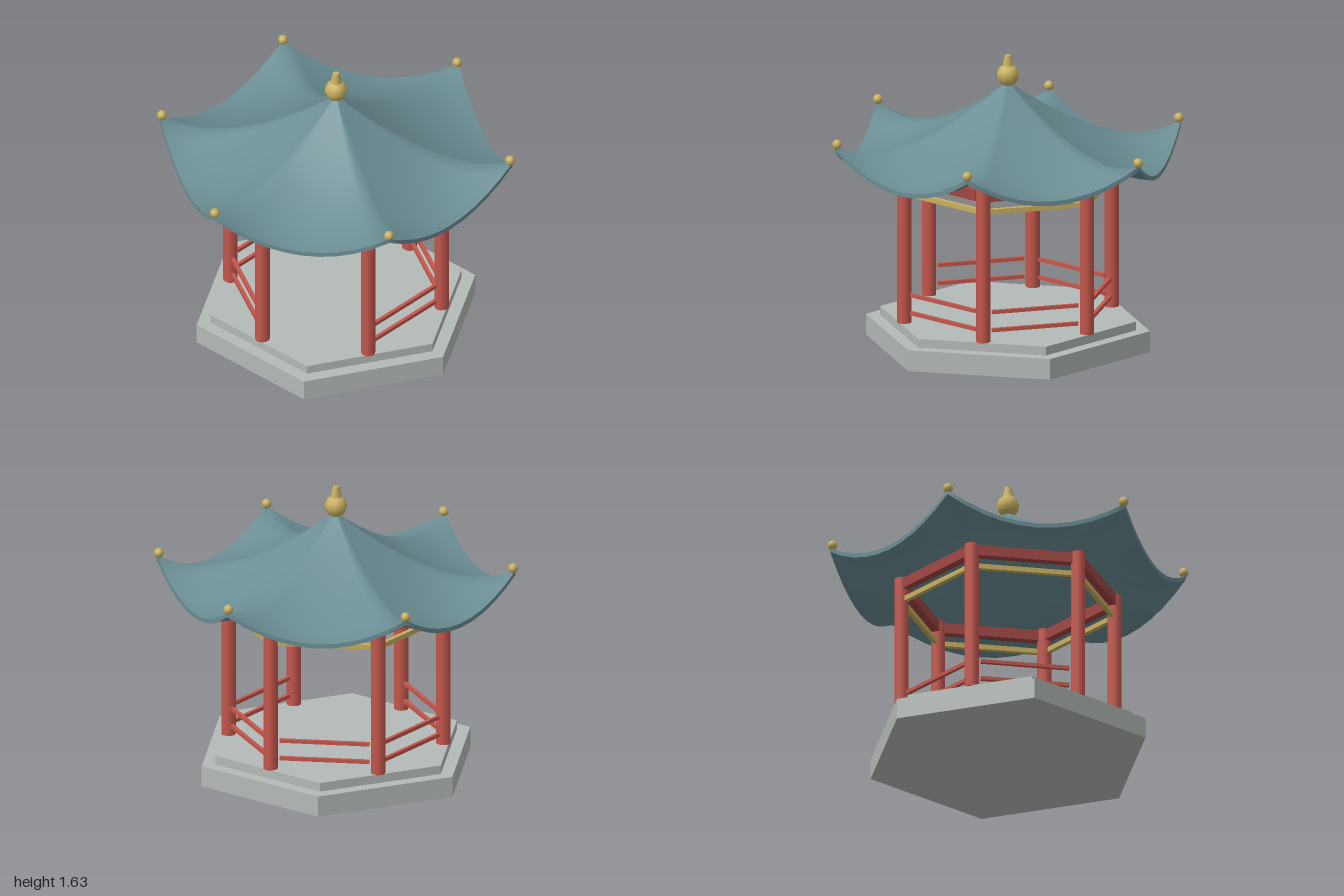
import * as THREE from 'three';

const material = (name, color, side = THREE.FrontSide) =>
  Object.assign(new THREE.MeshStandardMaterial({ color, side }), { name });

const SIDES = 6;
const POST_RADIUS = 0.59;
const ROOF_RADIUS = 0.985;
const PER_SIDE = 10;   // roof steps along each eave
const RINGS = 14;      // roof steps from peak to eave
const ROOF_THICK = 0.025;

// Point on a hexagon with a corner on +x
const corner = (i, r, y = 0) =>
  new THREE.Vector3(r * Math.cos(i * Math.PI / 3), y, r * Math.sin(i * Math.PI / 3));

// Swept roof: t runs from peak to eave, corners curl upward
function roofPoint(j, t, drop) {
  const side = Math.floor(j / PER_SIDE) % SIDES;
  const f = (j % PER_SIDE) / PER_SIDE;
  const p = corner(side, ROOF_RADIUS * t).lerp(corner(side + 1, ROOF_RADIUS * t), f);
  const s = 2 * f - 1;
  p.y = 1.022 + 0.458 * Math.pow(1 - t, 1.6) + 0.16 * t ** 3 * s * s - drop;
  return p;
}

// Closed-ring surface; row(i, j) gives the point on row i
function ringSurface(rows, row, flip) {
  const n = SIDES * PER_SIDE, pos = [], index = [];
  for (let i = 0; i <= rows; i++)
    for (let j = 0; j < n; j++) pos.push(...row(i, j).toArray());
  for (let i = 0; i < rows; i++)
    for (let j = 0; j < n; j++) {
      const k = (j + 1) % n;
      const a = i * n + j, b = i * n + k, c = a + n, d = b + n;
      if (flip) index.push(a, c, b, b, c, d);
      else index.push(a, b, c, b, d, c);
    }
  const g = new THREE.BufferGeometry();
  g.setAttribute('position', new THREE.Float32BufferAttribute(pos, 3));
  g.setIndex(index);
  g.computeVertexNormals();
  return g;
}

export function createModel() {
  const model = new THREE.Group();
  model.name = 'pavilion';
  const stone = material('stone', 0xb4bab8);
  const red = material('red lacquer', 0xc4574c);
  const darkRed = material('dark red lacquer', 0xa04643);
  const gold = material('gold', 0xc8b060);
  const tile = material('teal roof', 0x6a8d93);

  const add = (name, geometry, mat, parent = model) => {
    const mesh = new THREE.Mesh(geometry, mat);
    mesh.name = name;
    parent.add(mesh);
    return mesh;
  };

  // Stepped hexagonal plinth, corners on the z axis
  const slab = (name, r, y0, y1) => {
    const g = new THREE.CylinderGeometry(r, r, y1 - y0, SIDES).toNonIndexed();
    g.computeVertexNormals();
    add(name, g, stone).position.y = (y0 + y1) / 2;
  };
  slab('lowerStep', 0.795, 0, 0.117);
  slab('upperStep', 0.716, 0.117, 0.166);

  // Posts, and the bars between neighbouring posts
  const postGeometry = new THREE.CylinderGeometry(0.04, 0.04, 0.86, 10);
  const beamGeometry = new THREE.BoxGeometry(0.52, 0.06, 0.045);
  const trimGeometry = new THREE.BoxGeometry(0.51, 0.028, 0.025);
  const railGeometry = new THREE.BoxGeometry(0.49, 0.02, 0.02);
  for (let i = 0; i < SIDES; i++) {
    add('post', postGeometry, red).position.copy(corner(i, POST_RADIUS, 0.594));

    const bay = new THREE.Group();
    bay.name = 'bay';
    bay.position.copy(corner(i + 0.5, POST_RADIUS * Math.cos(Math.PI / 6)));
    bay.rotation.y = Math.PI / 2 - (i + 0.5) * Math.PI / 3;
    model.add(bay);
    add('beam', beamGeometry, darkRed, bay).position.y = 0.986;
    add('goldTrim', trimGeometry, gold, bay).position.y = 0.896;
    // The front bay is the entrance and has no rails
    if (i !== 1)
      for (const y of [0.226, 0.328]) add('rail', railGeometry, red, bay).position.y = y;
  }

  // Roof: upper skin, underside and eave edge
  const roof = new THREE.Group();
  roof.name = 'roof';
  model.add(roof);
  const ringT = (i) => 0.01 + 0.99 * i / RINGS;
  add('roofTop', ringSurface(RINGS, (i, j) => roofPoint(j, ringT(i), 0), false), tile, roof);
  add('roofUnderside', ringSurface(RINGS, (i, j) => roofPoint(j, ringT(i), ROOF_THICK), true), tile, roof);
  add('eaveEdge', ringSurface(1, (i, j) => roofPoint(j, 1, i * ROOF_THICK), false), tile, roof);

  // Gold balls on the roof corners
  const ballGeometry = new THREE.SphereGeometry(0.027, 12, 8);
  for (let i = 0; i < SIDES; i++)
    add('cornerBall', ballGeometry, gold).position.copy(corner(i, 0.973, 1.198));

  // Finial on the peak: a ball and a tapered tip
  const ball = new THREE.SphereGeometry(0.062, 10, 8);
  ball.rotateY(Math.PI / 2);
  add('finialBall', ball, gold).position.y = 1.516;
  add('finialTip', new THREE.CylinderGeometry(0.018, 0.034, 0.075, 10), gold).position.y = 1.59;

  return model;
}
